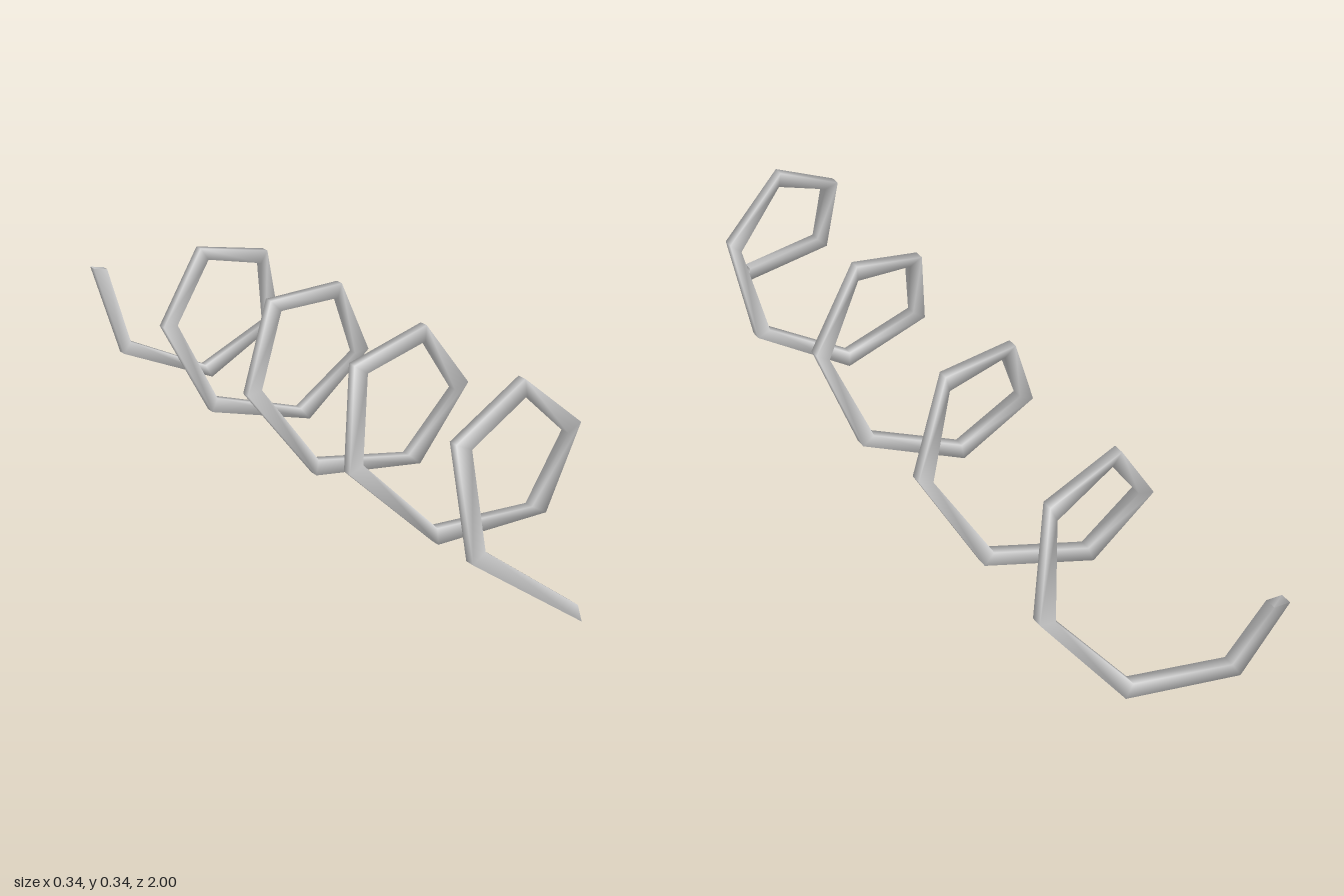
import * as THREE from 'three';

const TURNS = 4.305;
const SEGMENTS = 25;
const COIL_RADIUS = 0.156;
const CENTER_Y = 0.17;
const HALF_LENGTH = 0.987;
const TWIST = 0.25; // lean of each wire section against the radius

// Corners of the square wire section: [along the radius, along z]
const SECTION = [[1, -1], [1, 1], [-1, 1], [-1, -1]].map(([u, w]) => [u * 0.0145, w * 0.013]);

// Square sections swept along a coarse helix, from the front bottom to the back
function coilGeometry() {
  const positions = [];
  const indices = [];
  for (let i = 0; i <= SEGMENTS; i++) {
    const t = i / SEGMENTS;
    const a = t * TURNS * Math.PI * 2;
    for (const [u, w] of SECTION) {
      positions.push(
        -COIL_RADIUS * Math.sin(a) - u * Math.sin(a - TWIST),
        CENTER_Y - COIL_RADIUS * Math.cos(a) - u * Math.cos(a - TWIST),
        HALF_LENGTH * (1 - 2 * t) + w
      );
    }
    if (i === SEGMENTS) break;
    for (let j = 0; j < 4; j++) {
      const p = i * 4 + j;
      const q = i * 4 + (j + 1) % 4;
      indices.push(p, q, q + 4, p, q + 4, p + 4);
    }
  }
  const geometry = new THREE.BufferGeometry();
  geometry.setAttribute('position', new THREE.Float32BufferAttribute(positions, 3));
  geometry.setIndex(indices);
  geometry.computeVertexNormals();
  return geometry;
}

export function createModel() {
  const group = new THREE.Group();
  group.name = 'spring';

  // Smooth-shaded wire with open ends
  const coil = new THREE.Mesh(
    coilGeometry(),
    new THREE.MeshStandardMaterial({ color: 0xcccccc, side: THREE.DoubleSide })
  );
  coil.name = 'coil';
  group.add(coil);
  return group;
}
